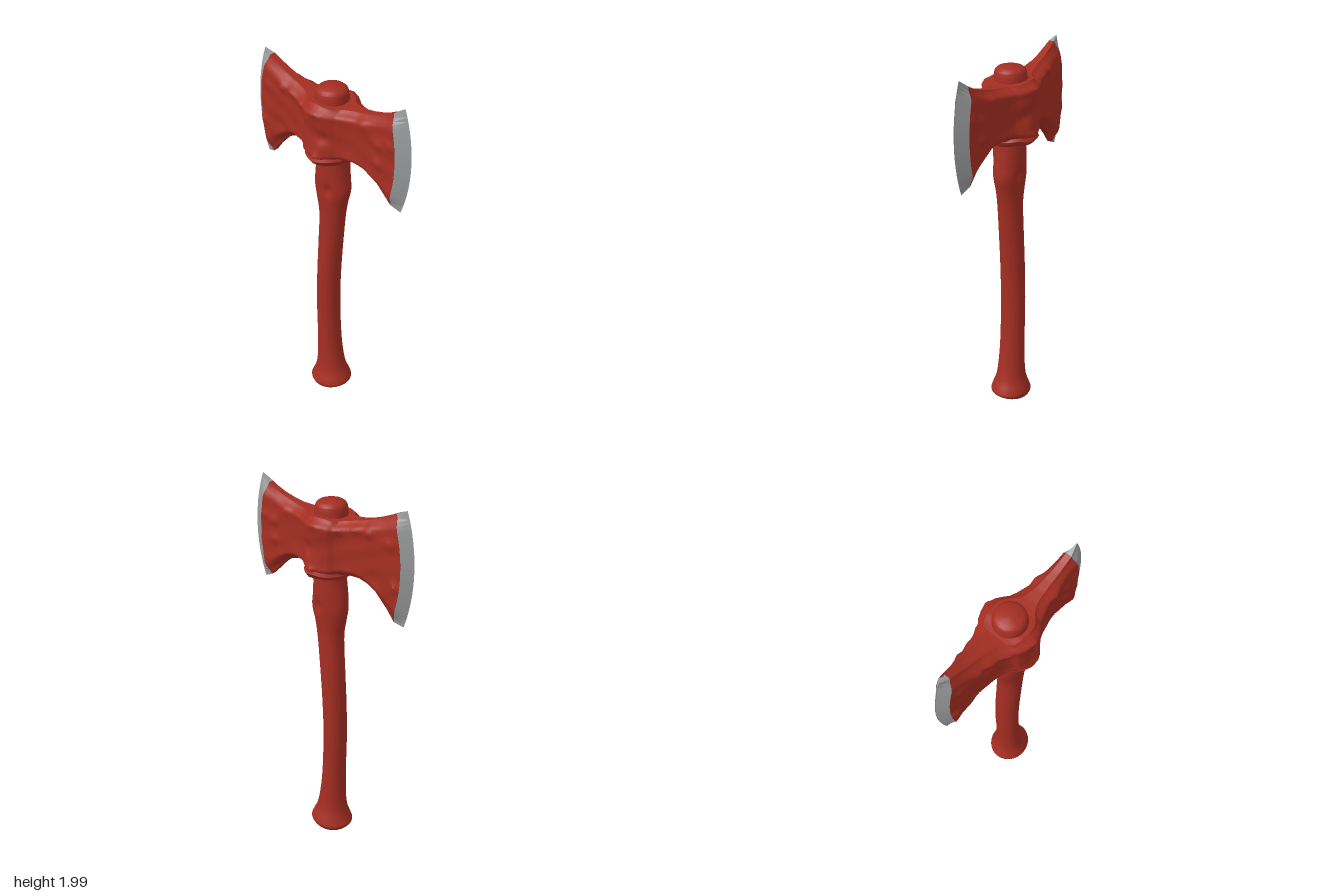
import * as THREE from 'three';
import { toCreasedNormals } from 'three/addons/utils/BufferGeometryUtils.js';

// Skin a list of equal-length rings and close both ends
function loft(rings, crease = 0.7) {
  const n = rings[0].length, last = (rings.length - 1) * n;
  const pts = rings.flat(), index = [];
  for (let i = 0; i < rings.length - 1; i++) {
    for (let j = 0; j < n; j++) {
      const a = i * n + j, b = i * n + (j + 1) % n;
      index.push(a, a + n, b, b, a + n, b + n);
    }
  }
  const centre = ring => ring.reduce((s, p) => s.add(p), new THREE.Vector3()).divideScalar(n);
  const c0 = pts.length, c1 = c0 + 1;
  const all = [...pts, centre(rings[0]), centre(rings[rings.length - 1])];
  for (let j = 0; j < n; j++) {
    const k = (j + 1) % n;
    index.push(c0, j, k, c1, last + k, last + j);
  }
  const g = new THREE.BufferGeometry().setFromPoints(all);
  g.setIndex(index);
  return toCreasedNormals(g, crease);
}

// Insert linear steps between rows of numbers
function subdivide(rows, steps) {
  const out = [];
  for (let i = 0; i < rows.length - 1; i++) {
    for (let s = 0; s < steps; s++) {
      out.push(rows[i].map((v, k) => THREE.MathUtils.lerp(v, rows[i + 1][k], s / steps)));
    }
  }
  out.push(rows[rows.length - 1]);
  return out;
}

const gauss = (dx, dy, r) => Math.exp(-(dx * dx + dy * dy) / (r * r));

// Oval rings stacked in y: [y, xMin, xMax, zRadius]
function ovalRings(rows, sides, rule = p => p) {
  return rows.map(([y, x0, x1, rz]) => Array.from({ length: sides }, (_, j) => {
    const a = j / sides * Math.PI * 2;
    return rule(new THREE.Vector3((x0 + x1) / 2 + (x1 - x0) / 2 * Math.cos(a), y, rz * Math.sin(a)));
  }));
}

// Battered lumps and dents on the head: [x, y, radius, height]
const lumps = [
  [-0.28, 1.86, 0.022, 0.014], [-0.21, 1.87, 0.03, 0.01], [-0.12, 1.85, 0.025, 0.012],
  [-0.43, 1.62, 0.02, 0.012], [-0.39, 1.83, 0.025, 0.01], [-0.3, 1.64, 0.04, -0.008],
  [0.34, 1.78, 0.025, 0.013], [0.34, 1.68, 0.022, 0.012], [0.41, 1.8, 0.02, 0.012],
  [0.25, 1.86, 0.025, 0.01], [0.05, 1.73, 0.03, -0.014], [0.02, 1.62, 0.025, 0.012],
  [0.2, 1.72, 0.05, -0.007], [0.0, 1.87, 0.025, 0.012],
];

function wear(x, y) {
  let d = 0.003 * Math.sin(x * 31 + y * 17) * Math.sin(y * 37 - x * 12);
  for (const [lx, ly, r, h] of lumps) d += h * gauss(x - lx, y - ly, r);
  return d;
}

// Head cross-sections along x: [x at tips, yBottom, yTop, half thickness, bow]
function headRings(rows, worn) {
  const N = 30;
  return rows.map(([x0, yb, yt, hz, bow]) => {
    const boss = THREE.MathUtils.smoothstep(hz, 0.06, 0.13);
    const side = dir => Array.from({ length: N + 1 }, (_, k) => {
      const t = dir > 0 ? k / N : 1 - k / N;
      const e = Math.min(t, 1 - t);
      const x = x0 + bow * (1 - (2 * t - 1) ** 2);
      const y = yb + (yt - yb) * t;
      const edge = 0.35 + 0.35 * boss;
      const fullness = edge + (1 - edge) * THREE.MathUtils.smoothstep(e, 0, 0.13);
      const waist = 1 - 0.1 * boss * Math.sin(Math.PI * THREE.MathUtils.clamp((t - 0.1) / 0.8, 0, 1));
      const z = hz * fullness * waist + (worn ? wear(x, y) * Math.min(1, e * 12) : 0);
      return new THREE.Vector3(x, y, dir * z);
    });
    return [...side(1), ...side(-1)];
  });
}

export function createModel() {
  const red = new THREE.MeshStandardMaterial({ color: 0xa52e22 });
  red.name = 'worn red';
  const steel = new THREE.MeshStandardMaterial({ color: 0x9c9d9f });
  steel.name = 'bare steel';

  const axe = new THREE.Group();
  axe.name = 'doubleAxe';
  const add = (name, geometry, material) => {
    const mesh = new THREE.Mesh(geometry, material);
    mesh.name = name;
    axe.add(mesh);
  };

  // Curved handle with flared foot and swollen neck, smoothed through key sections
  const keys = [
    [0.012, -0.085, 0.065, 0.075], [0.025, -0.105, 0.09, 0.098], [0.05, -0.124, 0.114, 0.11],
    [0.075, -0.114, 0.107, 0.104], [0.14, -0.092, 0.079, 0.083], [0.3, -0.083, 0.05, 0.071],
    [0.6, -0.088, 0.034, 0.069], [0.8, -0.085, 0.04, 0.068], [1.0, -0.076, 0.055, 0.067],
    [1.22, -0.07, 0.078, 0.066], [1.3, -0.083, 0.092, 0.071], [1.38, -0.096, 0.11, 0.079],
    [1.45, -0.092, 0.103, 0.081], [1.58, -0.075, 0.092, 0.084], [1.85, -0.086, 0.086, 0.087],
    [1.91, -0.084, 0.083, 0.084], [1.937, -0.077, 0.077, 0.077], [1.95, -0.062, 0.062, 0.062],
  ];
  const spline = col => new THREE.CatmullRomCurve3(
    keys.map(k => new THREE.Vector3(k[col], k[0], k[3])));
  const [left, right] = [spline(1), spline(2)];
  const handleRows = Array.from({ length: 103 }, (_, i) => {
    const a = left.getPoint(i / 102), b = right.getPoint(i / 102);
    return [a.y, a.x, b.x, a.z];
  });
  add('handle', loft(ovalRings(handleRows, 40, p => {
    // Knot hollow on both faces, slightly tilted foot
    p.z *= 1 - 0.24 * gauss(p.x - 0.03, (p.y - 1.39) * 0.7, 0.024);
    if (p.y < 0.14) p.y += 0.07 * p.x * (1 - p.y / 0.14);
    return p;
  })), red);

  // Twin-bladed head, thickening to a boss around the handle
  const inner = { left: [-0.41, 1.42, 1.98, 0.043, -0.05], right: [0.4, 1.455, 1.962, 0.043, 0.04] };
  const headRows = [
    inner.left, [-0.37, 1.475, 1.96, 0.05, -0.035], [-0.3, 1.55, 1.93, 0.058, -0.01],
    [-0.25, 1.582, 1.913, 0.064, 0], [-0.2, 1.6, 1.9, 0.073, 0], [-0.13, 1.605, 1.886, 0.09, 0],
    [-0.1, 1.6, 1.882, 0.106, 0], [-0.075, 1.595, 1.884, 0.132, 0], [-0.04, 1.59, 1.89, 0.147, 0],
    [0.01, 1.59, 1.89, 0.151, 0], [0.05, 1.59, 1.888, 0.144, 0], [0.08, 1.595, 1.884, 0.122, 0],
    [0.105, 1.6, 1.884, 0.1, 0], [0.14, 1.605, 1.885, 0.083, 0], [0.2, 1.602, 1.892, 0.067, 0],
    [0.26, 1.582, 1.905, 0.058, 0], [0.31, 1.545, 1.92, 0.051, 0.01],
    [0.36, 1.495, 1.94, 0.046, 0.025], inner.right,
  ];
  add('head', loft(headRings(subdivide(headRows, 4), true)), red);

  // Collar lip under the boss
  add('collar', loft(ovalRings([
    [1.568, -0.105, 0.108, 0.115], [1.58, -0.118, 0.122, 0.138],
    [1.6, -0.122, 0.127, 0.152], [1.625, -0.105, 0.108, 0.142],
  ], 36, p => {
    p.y += 0.004 * Math.sin(p.x * 50 + p.z * 30);
    return p;
  })), red);

  // Ground cutting edges
  add('rightEdge', loft(headRings([[-0.46, 1.4, 2.0, 0.002, -0.05], inner.left], false), 0.4), steel);
  add('leftEdge', loft(headRings([inner.right, [0.455, 1.428, 2.0, 0.002, 0.05]], false), 0.4), steel);

  return axe;
}
